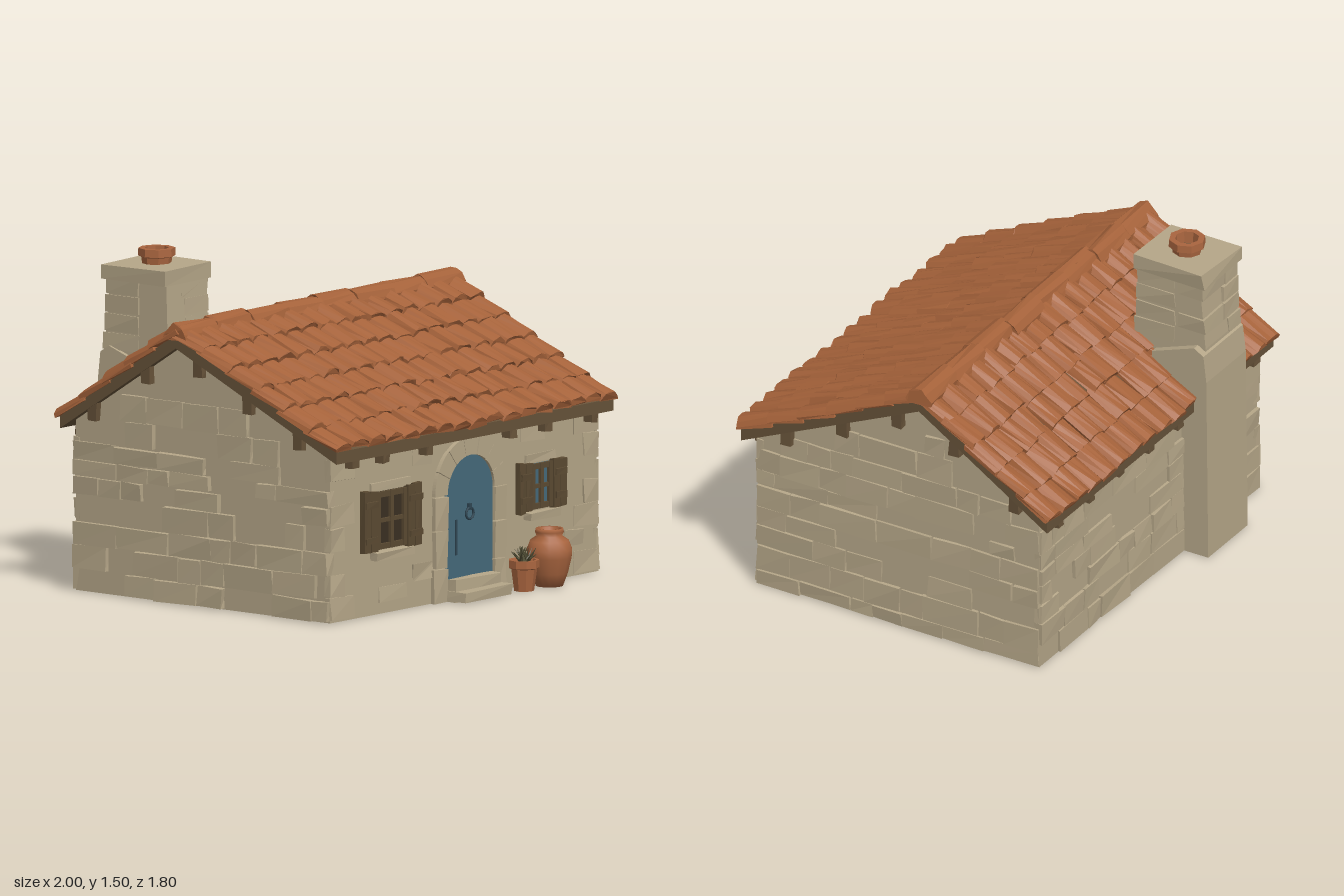
import * as THREE from 'three';

const mat = (name, color, double) => {
  const m = new THREE.MeshStandardMaterial({ color });
  m.name = name;
  if (double) m.side = THREE.DoubleSide;
  return m;
};

export function createModel() {
  const house = new THREE.Group();
  house.name = 'cottage';
  const stone = mat('stone', 0xb5a688), tile = mat('roofTile', 0xa5623a);
  const clay = mat('clay', 0xa9653f, true), wood = mat('beamWood', 0x665239);
  const shutterWood = mat('shutterWood', 0x5b4a32), blue = mat('doorBlue', 0x45697a);
  const iron = mat('iron', 0x2f4653), dark = mat('shadowWood', 0x3a2f22), leaf = mat('leaf', 0x4f4c33, true);

  let seed = 7;
  const rnd = () => (seed = (seed * 16807) % 2147483647) / 2147483647;
  const jit = (a) => (rnd() - 0.5) * 2 * a;

  const flat = (g) => {
    if (g.index) g = g.toNonIndexed();
    g.computeVertexNormals();
    return g;
  };
  // shift every corner a little; equal corners move together
  const rough = (g, amount) => {
    const p = g.attributes.position, k = rnd() * 50;
    const h = (x, y, z, s) => {
      const v = Math.sin(x * 127.1 + y * 311.7 + z * 74.7 + s + k) * 437.58;
      return (v - Math.floor(v) - 0.5) * 2 * amount;
    };
    for (let i = 0; i < p.count; i++) {
      const [x, y, z] = [p.getX(i), p.getY(i), p.getZ(i)].map((v) => Math.round(v * 1000) / 1000 + 0);
      p.setXYZ(i, p.getX(i) + h(x, y, z, 1), p.getY(i) + h(x, y, z, 2), p.getZ(i) + h(x, y, z, 3));
    }
    return flat(g);
  };
  const add = (name, g, m, parent = house) => {
    const mesh = new THREE.Mesh(g, m);
    mesh.name = name;
    parent.add(mesh);
    return mesh;
  };
  // box given by its two extreme corners
  const block = (name, m, x0, x1, y0, y1, z0, z1, r = 0, parent = house) => {
    const mesh = add(name, rough(new THREE.BoxGeometry(x1 - x0, y1 - y0, z1 - z0), r), m, parent);
    mesh.position.set((x0 + x1) / 2, (y0 + y1) / 2, (z0 + z1) / 2);
    return mesh;
  };
  // side profile of [z, y] points, stretched along x
  const profileX = (name, m, pts, x0, x1) => {
    const s = new THREE.Shape(pts.map(([z, y]) => new THREE.Vector2(-z, y)));
    const g = new THREE.ExtrudeGeometry(s, { depth: x1 - x0, bevelEnabled: false });
    g.rotateY(Math.PI / 2).translate(x0, 0, 0);
    return add(name, g, m);
  };

  // walls with both gables
  const RZ = -0.15, RY = 1.16;
  const roofAt = (z) => RY - (z > RZ ? (z - RZ) * 0.4624 : (RZ - z) * 0.642);
  profileX('walls', stone, [[0.715, 0], [0.715, roofAt(0.715) + 0.02], [RZ, RY + 0.02],
    [-0.755, roofAt(-0.755) + 0.02], [-0.755, 0]].reverse(), -0.94, 0.935);

  // stone courses on the gables and the back
  const courses = (from, to, top, place) => {
    for (let y = 0.005; y < 1.1;) {
      const h = 0.07 + rnd() * 0.06;
      for (let u = from; u < to - 0.03;) {
        let v = Math.min(to, u + 0.1 + rnd() * 0.2);
        if (to - v < 0.06) v = to;
        if (rnd() < 0.8 && y + h < Math.min(top(u), top(v))) place(u, v, y, y + h - 0.006);
        u = v + 0.005;
      }
      y += h;
    }
  };
  for (const [side, x] of [[1, 0.935], [-1, -0.94]]) {
    courses(-0.755, 0.715, roofAt, (a, b, y0, y1) => {
      const d = rnd() * 0.008;
      block('gableStone', stone, x - 0.02 + side * d, x + 0.02 + side * d - side * 0.012, y0, y1, a, b, 0.005);
    });
  }
  courses(-0.94, 0.935, () => 0.78, (a, b, y0, y1) =>
    block('backStone', stone, a, b, y0, y1, -0.765 - rnd() * 0.006, -0.73, 0.005));
  // corner stones and a few loose ones on the front
  for (let i = 0; i < 7; i++) {
    const w = i % 2 ? 0.1 : 0.17;
    if (i % 3 !== 2) block('cornerStone', stone, -0.945, -0.945 + w, i * 0.105 + 0.01, i * 0.105 + 0.11, 0.69, 0.722, 0.006);
    if (i % 3 !== 1) block('cornerStone', stone, 0.94 - w, 0.94, i * 0.105 + 0.01, i * 0.105 + 0.11, 0.69, 0.722, 0.006);
  }
  for (const [x, y, w] of [[-0.36, 0.12, 0.15], [-0.6, 0.05, 0.2], [0.7, 0.14, 0.14], [-0.36, 0.64, 0.13], [0.4, 0.65, 0.16]])
    block('frontStone', stone, x, x + w, y, y + 0.07, 0.69, 0.72, 0.006);

  // roof deck with dark bargeboards
  profileX('roofDeck', wood, [[0.78, 0.73], [0.78, 0.785], [RZ, 1.225], [-0.82, 0.785], [-0.82, 0.73], [RZ, RY]].reverse(), -0.975, 0.975);

  // barrel tiles, rows overlapping down each slope
  const W = 0.1165;
  const tileGeo = (w, h, len) => {
    const s = new THREE.Shape([[-0.5, -0.2], [0.5, -0.2], [0.49, 0.2], [0.33, 0.75], [0.1, 1], [-0.14, 0.98], [-0.36, 0.7], [-0.49, 0.2]]
      .map(([a, b]) => new THREE.Vector2(a * w, b * h)));
    return rough(new THREE.ExtrudeGeometry(s, { depth: len, bevelEnabled: false }), 0.006);
  };
  const slope = (name, angle, turn, length, rows) => {
    const g = new THREE.Group();
    g.name = name;
    g.position.set(0, 1.222, RZ);
    g.rotation.set(angle, turn, 0, 'YXZ');
    const pitch = length / rows;
    for (let r = 0; r < rows; r++) for (let c = 0; c < 17; c++) {
      const t = add('roofTile', tileGeo(W + jit(0.006), 0.036 + jit(0.005), pitch + 0.03), tile, g);
      t.position.set((c - 8) * W + jit(0.006), jit(0.004), r * pitch - 0.02 + jit(0.008));
      t.rotation.set(-0.09, jit(0.03), jit(0.07));
    }
    house.add(g);
  };
  slope('frontRoof', Math.atan2(0.44, 0.93), 0, 1.03, 6);
  slope('backRoof', Math.atan2(0.44, 0.67), Math.PI, 0.8, 5);
  for (let i = 0; i < 8; i++) {
    const t = add('ridgeTile', tileGeo(0.125, 0.062, 0.26), tile);
    t.position.set(-0.985 + i * 0.245, 1.212 + jit(0.005), RZ + jit(0.006));
    t.rotation.set(0, Math.PI / 2 + jit(0.04), jit(0.05), 'YXZ');
  }

  // rafter ends under the eaves and purlin ends on the gables
  for (const x of [-0.82, -0.6, -0.3, 0.29, 0.54, 0.86])
    block('frontRafter', wood, x - 0.023, x + 0.023, 0.69, 0.765, 0.69, 0.765, 0.004);
  for (const x of [-0.86, -0.62, -0.2, 0.05, 0.3, 0.56, 0.83])
    block('backRafter', wood, x - 0.023, x + 0.023, 0.69, 0.765, -0.805, -0.73, 0.004);
  for (const s of [-1, 1]) for (const z of [0.55, 0.26, -0.03, -0.33, -0.64]) {
    const y = roofAt(z);
    block('purlinEnd', wood, s * 0.935 - 0.035, s * 0.935 + 0.035, y - 0.065, y + 0.02, z - 0.026, z + 0.026, 0.004);
  }

  // chimney: wide base with shoulder, tapered stack, cap and pot
  profileX('chimneyBase', stone, [[-0.6, 0], [-0.6, 0.98], [-0.82, 1.06], [-0.87, 1.03], [-0.885, 0.9], [-0.895, 0]].reverse(), -0.63, -0.29);
  profileX('chimneyStack', stone, [[-0.49, 0.9], [-0.505, 1.37], [-0.83, 1.37], [-0.86, 1.05], [-0.86, 0.9]].reverse(), -0.61, -0.325);
  for (let i = 0; i < 4; i++) {
    const y = 1.04 + i * 0.085, k = i * 0.004, m = -0.47 + jit(0.05);
    block('stackStone', stone, -0.617, m, y, y + 0.078, -0.862 + k, -0.66, 0.005);
    block('stackStone', stone, m + 0.005, -0.318, y, y + 0.078, -0.7, -0.492 - k, 0.005);
    if (i % 2) block('stackStone', stone, m + 0.005, -0.318, y, y + 0.078, -0.862 + k, -0.72, 0.005);
  }
  block('chimneyCap', stone, -0.635, -0.31, 1.36, 1.43, -0.855, -0.495, 0.007);
  const lathe = (name, pts, sides, x, y, z) => {
    const g = new THREE.LatheGeometry(pts.map(([r, h]) => new THREE.Vector2(r, h)), sides);
    const mesh = add(name, sides < 10 ? flat(g) : g, clay);
    mesh.position.set(x, y, z);
  };
  lathe('chimneyPot', [[0.066, 0], [0.07, 0.03], [0.085, 0.035], [0.083, 0.07], [0.055, 0.07], [0.05, 0.01]], 8, -0.47, 1.43, -0.675);
  add('flueFloor', new THREE.CylinderGeometry(0.054, 0.054, 0.02, 8), wood).position.set(-0.47, 1.435, -0.675);

  // arched door with stone surround
  const CX = 0.03, SY = 0.48, R = 0.165, RO = 0.25;
  const doorShape = new THREE.Shape();
  doorShape.moveTo(CX - R, 0.09).lineTo(CX + R, 0.09).lineTo(CX + R, SY).absarc(CX, SY, R, 0, Math.PI, false);
  add('door', new THREE.ExtrudeGeometry(doorShape, { depth: 0.022, bevelEnabled: false, curveSegments: 10 }), blue).position.z = 0.7;
  for (let i = 0; i < 7; i++) {
    const a = (i * Math.PI) / 7, b = ((i + 1) * Math.PI) / 7 - 0.012;
    const s = new THREE.Shape();
    s.absarc(CX, SY, RO + jit(0.006), a, b, false).absarc(CX, SY, R, b, a, true);
    add('archStone', new THREE.ExtrudeGeometry(s, { depth: 0.05 + jit(0.004), bevelEnabled: false, curveSegments: 4 }), stone).position.z = 0.687;
  }
  for (const [y0, y1] of [[0, 0.15], [0.155, 0.32], [0.325, 0.476]]) {
    block('jambStone', stone, CX - RO + jit(0.01), CX - R, y0, y1, 0.68, 0.737, 0.004);
    block('jambStone', stone, CX + R, CX + RO + jit(0.01), y0, y1, 0.68, 0.737, 0.004);
  }
  block('upperStep', stone, -0.13, 0.185, 0, 0.095, 0.69, 0.775, 0.005);
  block('lowerStep', stone, -0.14, 0.19, 0, 0.05, 0.69, 0.84, 0.005);
  add('doorKnocker', new THREE.TorusGeometry(0.026, 0.006, 6, 14), iron).position.set(0.025, 0.38, 0.73);
  block('knockerPlate', iron, 0.015, 0.035, 0.395, 0.425, 0.715, 0.735);
  block('doorLatch', iron, -0.07, -0.058, 0.2, 0.36, 0.715, 0.727);

  // windows with shutters, sill and lintel
  const win = (x0, x1, y0, y1, sw, glass) => {
    const g = new THREE.Group(), cx = (x0 + x1) / 2, cy = (y0 + y1) / 2;
    g.name = 'window';
    house.add(g);
    block('windowBack', glass, x0, x1, y0, y1, 0.7, 0.72, 0, g);
    for (const [a, b] of [[x0, x0 + 0.025], [x1 - 0.025, x1], [cx - 0.01, cx + 0.01]])
      block('windowUpright', shutterWood, a, b, y0, y1, 0.7, 0.735, 0, g);
    for (const [a, b] of [[y0, y0 + 0.025], [y1 - 0.025, y1], [cy - 0.009, cy + 0.009]])
      block('windowRail', shutterWood, x0, x1, a, b, 0.7, 0.733, 0, g);
    for (const a of [x0 - sw, x1]) {
      for (let i = 0; i < 2; i++)
        block('shutterPlank', shutterWood, a + (i * sw) / 2, a + ((i + 1) * sw) / 2 - 0.003, y0 - 0.01 + jit(0.005), y1 + 0.01 + jit(0.006), 0.705, 0.742, 0.003, g);
      for (const y of [y0 + 0.05, y1 - 0.05])
        block('shutterBatten', shutterWood, a + 0.006, a + sw - 0.008, y - 0.014, y + 0.014, 0.73, 0.752, 0.002, g);
    }
    block('windowSill', stone, x0 - 0.03, x1 + 0.03, y0 - 0.045, y0 - 0.008, 0.69, 0.757, 0.004, g);
    block('windowLintel', stone, x0 - 0.03, x1 + 0.03, y1 + 0.008, y1 + 0.045, 0.69, 0.728, 0.004, g);
  };
  win(-0.63, -0.42, 0.295, 0.555, 0.1, dark);
  win(0.455, 0.605, 0.34, 0.545, 0.09, blue);

  // clay jar and planted pot beside the door
  lathe('clayJar', [[0, 0], [0.062, 0], [0.085, 0.06], [0.102, 0.13], [0.104, 0.165], [0.088, 0.205], [0.058, 0.226],
    [0.066, 0.245], [0.062, 0.26], [0.046, 0.258], [0.042, 0.22], [0, 0.2]], 14, 0.5, 0, 0.8);
  lathe('plantPot', [[0, 0], [0.046, 0], [0.06, 0.1], [0.07, 0.105], [0.07, 0.14], [0.056, 0.14], [0.05, 0.12], [0, 0.12]], 9, 0.32, 0, 0.8);
  for (let i = 0; i < 30; i++) {
    const g = new THREE.ConeGeometry(0.009, 0.08, 4).translate(0, 0.04, 0);
    const l = add('plantLeaf', flat(g), leaf);
    l.position.set(0.32 + jit(0.02), 0.125, 0.8 + jit(0.02));
    l.rotation.set(0, i * 2.4, 0.15 + (i % 5) * 0.2, 'YXZ');
  }
  return house;
}
